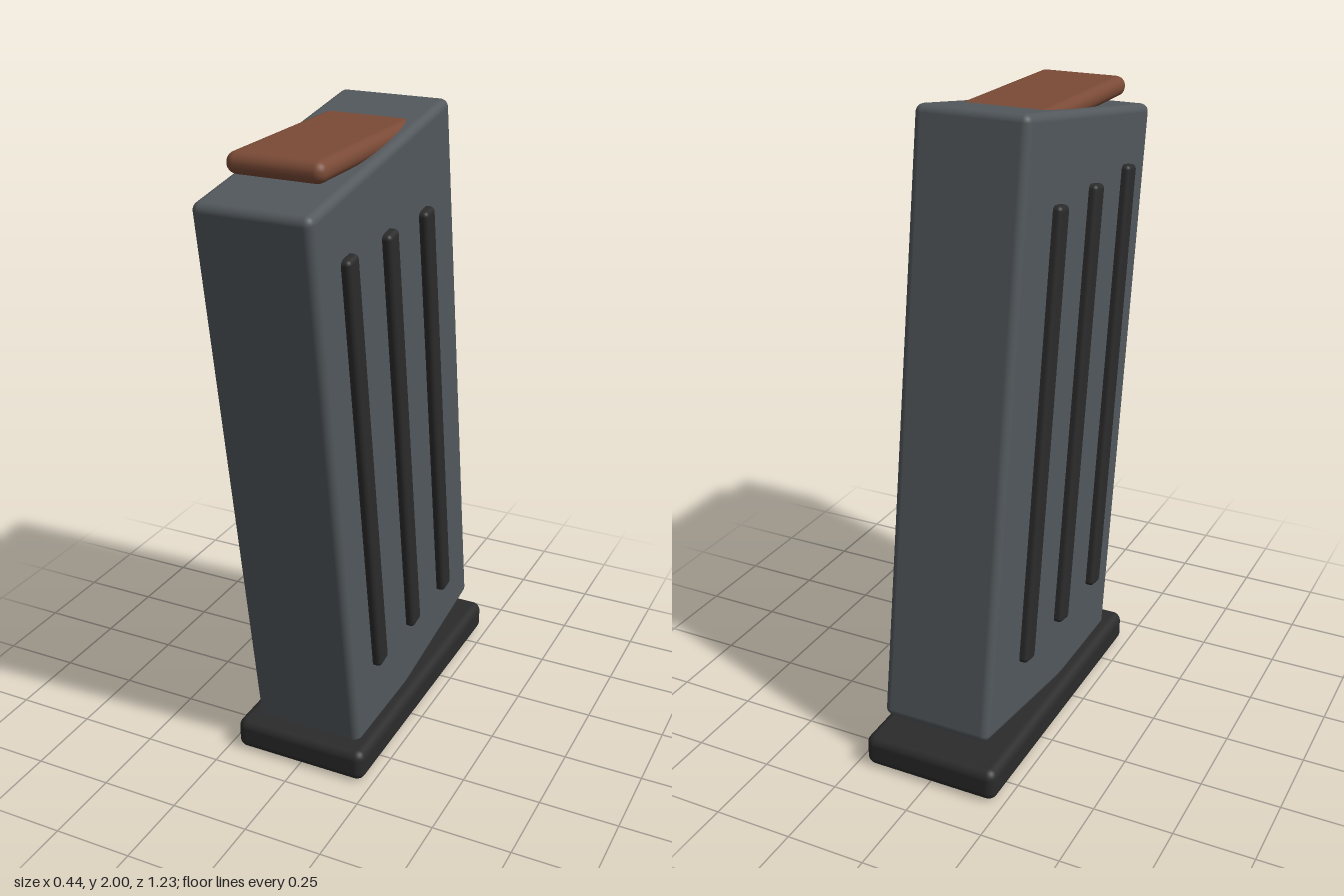
import * as THREE from 'three';
import { RoundedBoxGeometry } from 'three/addons/geometries/RoundedBoxGeometry.js';

const LEAN = 0.156; // forward tilt of the body

export function createModel() {
  const model = new THREE.Group();
  model.name = 'model';

  const material = (name, color) => {
    const m = new THREE.MeshStandardMaterial({ color });
    m.name = name;
    return m;
  };
  const steel = material('steelGrey', 0x52585c);
  const black = material('matteBlack', 0x2b2b2b);
  const copper = material('copperBrown', 0x7a4a36);

  const block = (name, mat, size, position, radius, tilt = 0) => {
    const mesh = new THREE.Mesh(new RoundedBoxGeometry(...size, 4, radius), mat);
    mesh.name = name;
    mesh.position.set(...position);
    mesh.rotation.x = tilt;
    model.add(mesh);
    return mesh;
  };

  // Flat foot plate
  block('basePlate', black, [0.445, 0.105, 1.025], [0, 0.0525, -0.1025], 0.03);

  // Leaning casing
  block('body', steel, [0.355, 1.855, 0.91], [0, 1.015, 0.025], 0.025, LEAN);

  // Level slab sunk into the sloping top
  block('topSlab', copper, [0.296, 0.062, 0.65], [0, 1.94, 0.165], 0.03);

  // Three raised ribs on each side
  for (const side of [-1, 1]) {
    for (const z of [0.31, 0.053, -0.203]) {
      block(side > 0 ? 'leftRib' : 'rightRib', black,
        [0.05, 1.405, 0.066], [side * 0.179, 1.017, z], 0.015, LEAN);
    }
  }

  return model;
}
